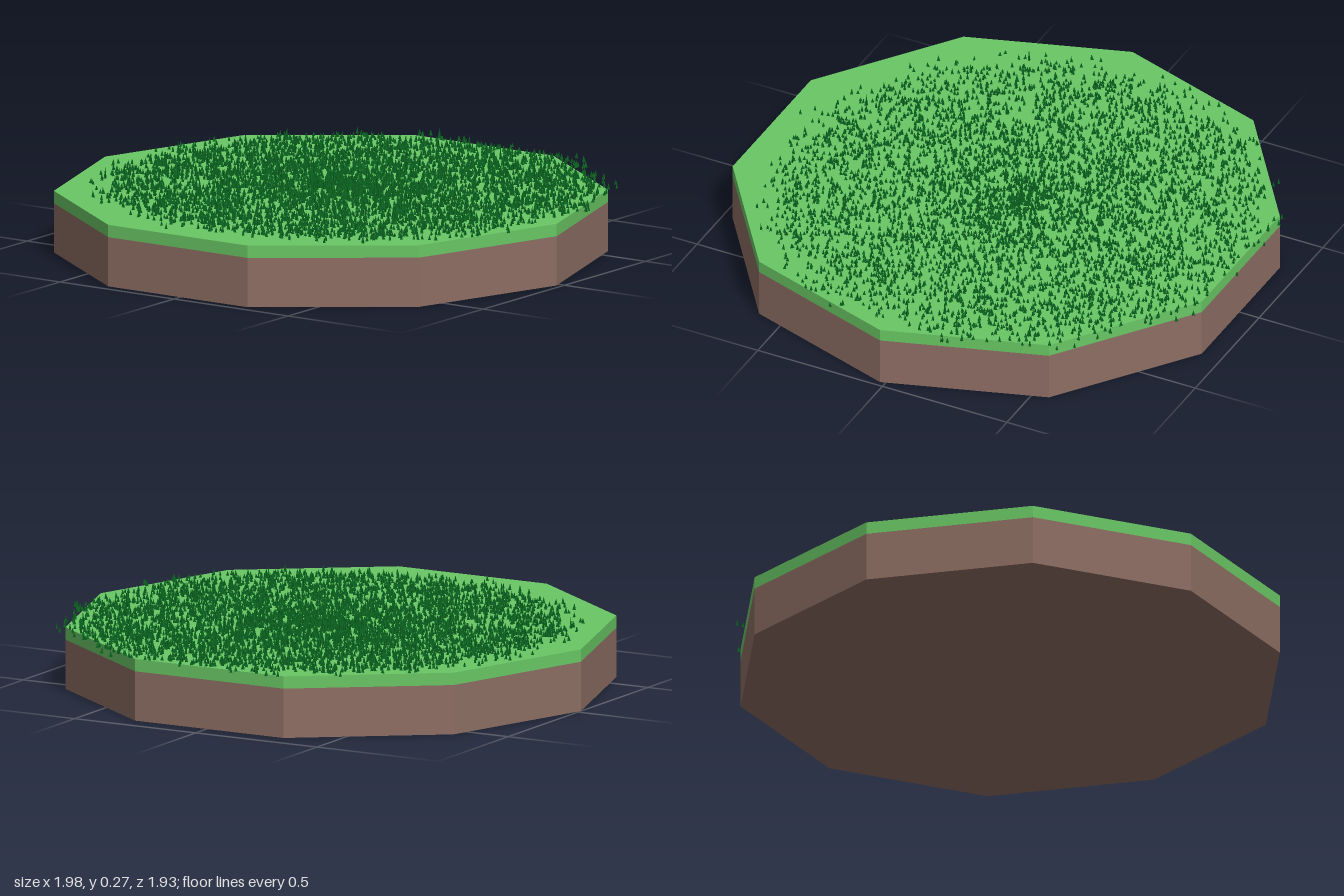
import * as THREE from 'three';

const CENTER_X = -0.01, CENTER_Z = 0.02, RADIUS = 0.99;
const SOIL_TOP = 0.18, TURF_TOP = 0.225;

// Small seeded generator so the meadow is always the same
function seeded(seed) {
  return () => {
    seed = (seed * 1664525 + 1013904223) >>> 0;
    return seed / 4294967296;
  };
}

// Ten-sided slab with corners on the x axis
function slab(name, bottom, top, color) {
  const geometry = new THREE.CylinderGeometry(RADIUS, RADIUS, top - bottom, 10);
  geometry.rotateY(Math.PI / 10);
  const mesh = new THREE.Mesh(geometry, new THREE.MeshStandardMaterial({ color, flatShading: true }));
  mesh.name = name;
  mesh.position.set(CENTER_X, (bottom + top) / 2, CENTER_Z);
  return mesh;
}

// Tufts of two crossed upright blades, densest near the middle
function grassField(count) {
  const random = seeded(7);
  const positions = [];

  function blade(x, z, angle, width, height, lean) {
    const dx = Math.cos(angle) * width / 2, dz = Math.sin(angle) * width / 2;
    positions.push(
      x - dx, TURF_TOP, z - dz,
      x + dx, TURF_TOP, z + dz,
      x + dx * lean, TURF_TOP + height, z + dz * lean
    );
  }

  for (let i = 0; i < count; i++) {
    const around = random() * Math.PI * 2;
    const reach = 0.88 * Math.pow(random(), 0.65) + (random() + random() - 1) * 0.1;
    const x = 0.03 + Math.cos(around) * reach;
    const z = -0.05 + Math.sin(around) * reach;
    const tall = random() < 0.015;
    const height = tall ? 0.036 + random() * 0.008 : 0.016 + random() * 0.009;
    const angle = random() * Math.PI;
    const lean = (random() - 0.5) * 0.8;
    blade(x, z, angle, 0.013, height, lean);
    blade(x, z, angle + Math.PI / 2, 0.013, height, lean);
  }

  const geometry = new THREE.BufferGeometry();
  geometry.setAttribute('position', new THREE.Float32BufferAttribute(positions, 3));
  geometry.computeVertexNormals();
  const mesh = new THREE.Mesh(geometry, new THREE.MeshStandardMaterial({
    color: 0x0b6b22, flatShading: true, side: THREE.DoubleSide
  }));
  mesh.name = 'grassBlades';
  return mesh;
}

export function createModel() {
  const model = new THREE.Group();
  model.name = 'grassyPlatform';
  model.add(slab('soil', 0, SOIL_TOP, 0x8d6e63));
  model.add(slab('turf', SOIL_TOP, TURF_TOP, 0x69c764));
  model.add(grassField(6000));
  return model;
}
